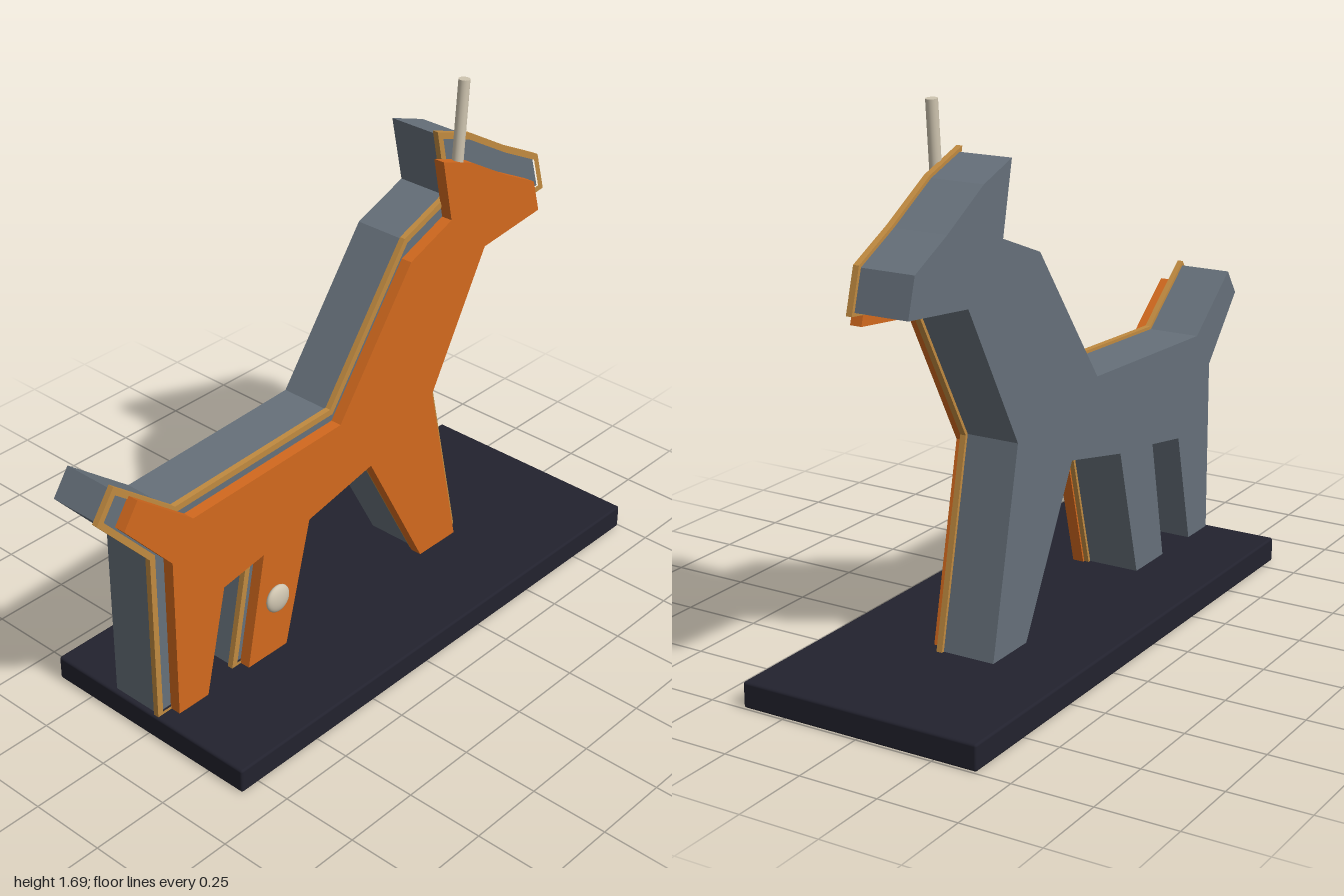
import * as THREE from 'three';
import { RoundedBoxGeometry } from 'three/addons/geometries/RoundedBoxGeometry.js';

const BASE_TOP = 0.08;

// Side silhouette of the animal, clockwise from the hind foot
const OUTLINE = [
  [-0.803, 0.08], [-0.803, 0.648], [-0.985, 0.853], [-0.928, 0.935], // hind leg, tail
  [-0.712, 0.764], [-0.06, 0.79], [0.27, 1.238], [0.465, 1.313],     // back, neck
  [0.418, 1.53], [0.56, 1.48], [0.74, 1.375], [0.892, 1.298],        // ear, forehead
  [0.925, 1.183], [0.642, 1.153], [0.392, 0.705], [0.53, 0.08],      // muzzle, chest
  [0.35, 0.08], [0.088, 0.567], [-0.207, 0.505], [-0.32, 0.08],      // belly
  [-0.495, 0.08], [-0.416, 0.477], [-0.593, 0.448], [-0.677, 0.08],  // leg gap
].map(([x, y]) => new THREE.Vector2(x, y));

// Mitred offset of a clockwise outline; positive distance grows it
function offset(points, distance) {
  const n = points.length;
  const normal = (a, b) => new THREE.Vector2(a.y - b.y, b.x - a.x).normalize();
  return points.map((p, i) => {
    const n1 = normal(points[(i + n - 1) % n], p);
    const n2 = normal(p, points[(i + 1) % n]);
    const mitre = n1.clone().add(n2).multiplyScalar(distance / (1 + n1.dot(n2)));
    return p.clone().add(mitre);
  });
}

// Flat slab between two depths, with an optional hole
function slab(points, z0, z1, hole) {
  const shape = new THREE.Shape(points);
  if (hole) shape.holes.push(new THREE.Path(hole));
  return new THREE.ExtrudeGeometry(shape, { depth: z1 - z0, bevelEnabled: false }).translate(0, 0, z0);
}

export function createModel() {
  const model = new THREE.Group();
  model.name = 'layeredAnimalFigure';

  const material = (name, color) => {
    const m = new THREE.MeshStandardMaterial({ color });
    m.name = name;
    return m;
  };
  const charcoal = material('charcoal', 0x22222e);
  const slate = material('slateGrey', 0x66707a);
  const brass = material('brass', 0xc08a40);
  const orange = material('orange', 0xd2691e);
  const ivory = material('ivory', 0xcfc5b0);

  const add = (name, geometry, mat) => {
    const mesh = new THREE.Mesh(geometry, mat);
    mesh.name = name;
    model.add(mesh);
    return mesh;
  };

  // Plinth
  add('base', new RoundedBoxGeometry(1.815, BASE_TOP, 0.78, 2, 0.008), charcoal)
    .position.set(0.088, BASE_TOP / 2, 0);

  // Thick rear body
  add('body', slab(OUTLINE, -0.148, 0.025), slate);

  // Thin rim that follows the silhouette
  add('rim', slab(offset(OUTLINE, 0.01), 0.022, 0.041, offset(OUTLINE, -0.01)), brass);

  // Smaller front panel, shrunk towards the plinth
  const panel = OUTLINE.map((p) => new THREE.Vector2(p.x * 0.945, BASE_TOP + (p.y - BASE_TOP) * 0.953));
  add('frontPanel', slab(panel, 0.038, 0.075), orange);

  // Horn
  const foot = new THREE.Vector3(0.484, 1.425, 0.055);
  const tip = new THREE.Vector3(0.504, 1.688, 0.055);
  const axis = tip.clone().sub(foot);
  const horn = add('horn', new THREE.CylinderGeometry(0.018, 0.018, axis.length(), 16), ivory);
  horn.position.copy(foot).add(tip).multiplyScalar(0.5);
  horn.quaternion.setFromUnitVectors(new THREE.Vector3(0, 1, 0), axis.normalize());

  // Flattened bead in front of the hind leg
  const bead = add('bead', new THREE.SphereGeometry(0.046, 24, 16), ivory);
  bead.scale.z = 0.4;
  bead.position.set(-0.384, 0.318, 0.12);

  return model;
}
